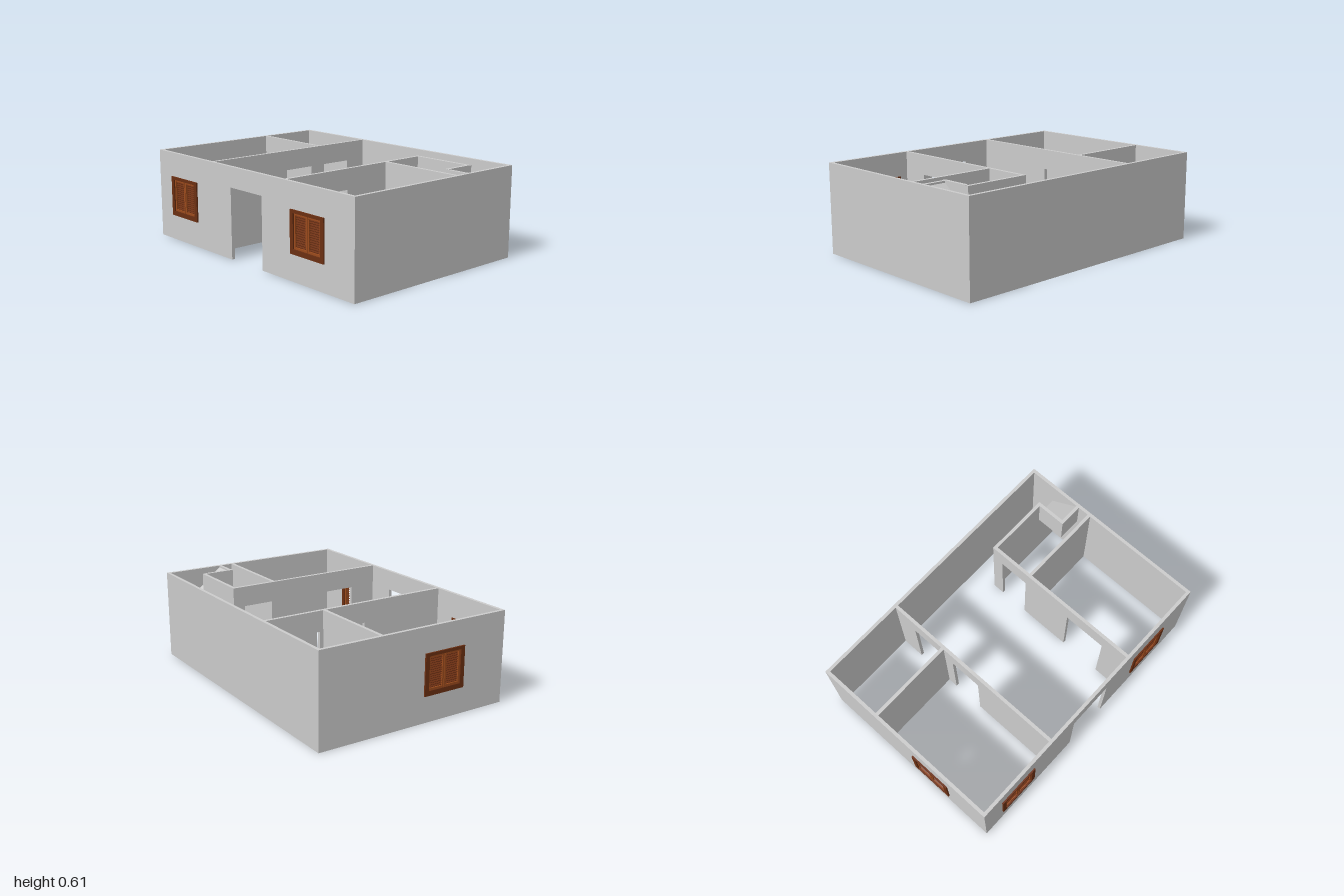
import * as THREE from 'three';

const H = 0.612;      // wall height
const T = 0.022;      // wall thickness
const DOOR = 0.476;   // door height
const WIN = { w: 0.3, y0: 0.175, y1: 0.447, d: 0.043 };

const grey = new THREE.MeshStandardMaterial({ color: 0xcccccc });
const darkWood = new THREE.MeshStandardMaterial({ color: 0x6b2f12 });
const lightWood = new THREE.MeshStandardMaterial({ color: 0x9a4a1c });

// Wall running from a to b, centred on `at`; doors notch the floor line, windows are holes.
function wall(name, axis, at, a, b, { doors = [], windows = [], height = H } = {}) {
  const s = new THREE.Shape();
  s.moveTo(a, 0);
  for (const [d0, d1] of doors) {
    s.lineTo(d0, 0);
    s.lineTo(d0, DOOR);
    s.lineTo(d1, DOOR);
    s.lineTo(d1, 0);
  }
  s.lineTo(b, 0);
  s.lineTo(b, height);
  s.lineTo(a, height);
  s.closePath();
  for (const c of windows) {
    const x0 = c - WIN.w / 2 + 0.012, x1 = c + WIN.w / 2 - 0.012;
    const y0 = WIN.y0 + 0.012, y1 = WIN.y1 - 0.012;
    const h = new THREE.Path();
    h.moveTo(x0, y0);
    h.lineTo(x0, y1);
    h.lineTo(x1, y1);
    h.lineTo(x1, y0);
    h.closePath();
    s.holes.push(h);
  }
  const g = new THREE.ExtrudeGeometry(s, { depth: T, bevelEnabled: false });
  g.translate(0, 0, -T / 2);
  if (axis === 'z') g.rotateY(-Math.PI / 2);
  const m = new THREE.Mesh(g, grey);
  m.name = name;
  if (axis === 'z') m.position.x = at;
  else m.position.z = at;
  return m;
}

function box(parent, name, mat, x0, x1, y0, y1, depth) {
  const m = new THREE.Mesh(new THREE.BoxGeometry(x1 - x0, y1 - y0, depth), mat);
  m.position.set((x0 + x1) / 2, (y0 + y1) / 2, 0);
  m.name = name;
  parent.add(m);
  return m;
}

// Rectangular frame made of two stiles and two rails
function frame(parent, name, mat, x0, x1, y0, y1, side, bottom, top, depth) {
  box(parent, name + 'Stile', mat, x0, x0 + side, y0, y1, depth);
  box(parent, name + 'Stile', mat, x1 - side, x1, y0, y1, depth);
  box(parent, name + 'Rail', mat, x0 + side, x1 - side, y0, y0 + bottom, depth);
  box(parent, name + 'Rail', mat, x0 + side, x1 - side, y1 - top, y1, depth);
}

// Louvred window with a pair of shutters
function shutterWindow(name) {
  const g = new THREE.Group();
  g.name = name;
  const w = WIN.w / 2;
  frame(g, 'frame', darkWood, -w, w, WIN.y0, WIN.y1, 0.029, 0.032, 0.02, WIN.d);
  const y0 = WIN.y0 + 0.032, y1 = WIN.y1 - 0.02, inner = w - 0.029;
  for (const side of [-1, 1]) {
    const x0 = side < 0 ? -inner : 0.002, x1 = side < 0 ? -0.002 : inner;
    frame(g, 'shutter', lightWood, x0, x1, y0, y1, 0.012, 0.012, 0.012, 0.026);
    const n = 14, step = (y1 - y0 - 0.024) / n;
    for (let i = 0; i < n; i++) {
      const y = y0 + 0.012 + (i + 0.5) * step;
      const slat = box(g, 'slat', darkWood, x0 + 0.012, x1 - 0.012, y - 0.002, y + 0.002, 0.015);
      slat.rotation.x = 0.5;
    }
  }
  return g;
}

export function createModel() {
  const model = new THREE.Group();
  model.name = 'house';
  const h = T / 2;
  const L = -0.979, R = 0.985, F = 0.669, B = -0.68;

  // Outer walls
  model.add(
    wall('frontWall', 'x', F, L - h, R + h, { doors: [[-0.155, 0.165]], windows: [-0.683, 0.597] }),
    wall('backWall', 'x', B, L - h, R + h),
    wall('rightWall', 'z', L, B + h, F - h, { windows: [0.207] }),
    wall('leftWall', 'z', R, B + h, F - h),
  );

  // Inner walls
  model.add(
    wall('rightRoomsWall', 'z', -0.368, B + h, F - h, { doors: [[-0.51, -0.286], [-0.17, 0.054]] }),
    wall('leftRoomsWall', 'z', 0.375, -0.492, F - h, { doors: [[-0.41, -0.2], [0.17, 0.47]] }),
    wall('rightRoomsDivider', 'x', -0.25, L + h, -0.368 - h),
    wall('bathroomFrontWall', 'x', -0.176, 0.375 + h, R - h),
    wall('bathroomBackWall', 'x', -0.481, 0.375 + h, 0.827),
    wall('nicheLowWall', 'x', -0.481, 0.827, R - h, { height: 0.42 }),
  );

  // Niche hanging in the bathroom corner: side wall, end wall and sloping base
  const sideWall = box(model, 'nicheSideWall', grey, 0.805, 0.827, 0.42, 0.614, 0.205);
  sideWall.position.z = -0.3675;
  const endWall = box(model, 'nicheEndWall', grey, 0.827, R - h, 0.42, H, T);
  endWall.position.z = -0.276;
  const slope = new THREE.Shape();
  slope.moveTo(-0.492, 0.42);
  slope.lineTo(-0.287, 0.42);
  slope.lineTo(-0.287, 0.6);
  slope.lineTo(-0.492, 0.435);
  slope.closePath();
  const slopeGeo = new THREE.ExtrudeGeometry(slope, { depth: R - h - 0.827, bevelEnabled: false });
  slopeGeo.rotateY(-Math.PI / 2);
  const slopeMesh = new THREE.Mesh(slopeGeo, grey);
  slopeMesh.name = 'nicheSlope';
  slopeMesh.position.x = R - h;
  model.add(slopeMesh);

  // Windows
  for (const [name, x, z, turn] of [
    ['frontRightWindow', -0.683, F, 0],
    ['frontLeftWindow', 0.597, F, 0],
    ['rightWindow', L, 0.207, -Math.PI / 2],
  ]) {
    const w = shutterWindow(name);
    w.position.set(x, 0, z);
    w.rotation.y = turn;
    model.add(w);
  }
  return model;
}
